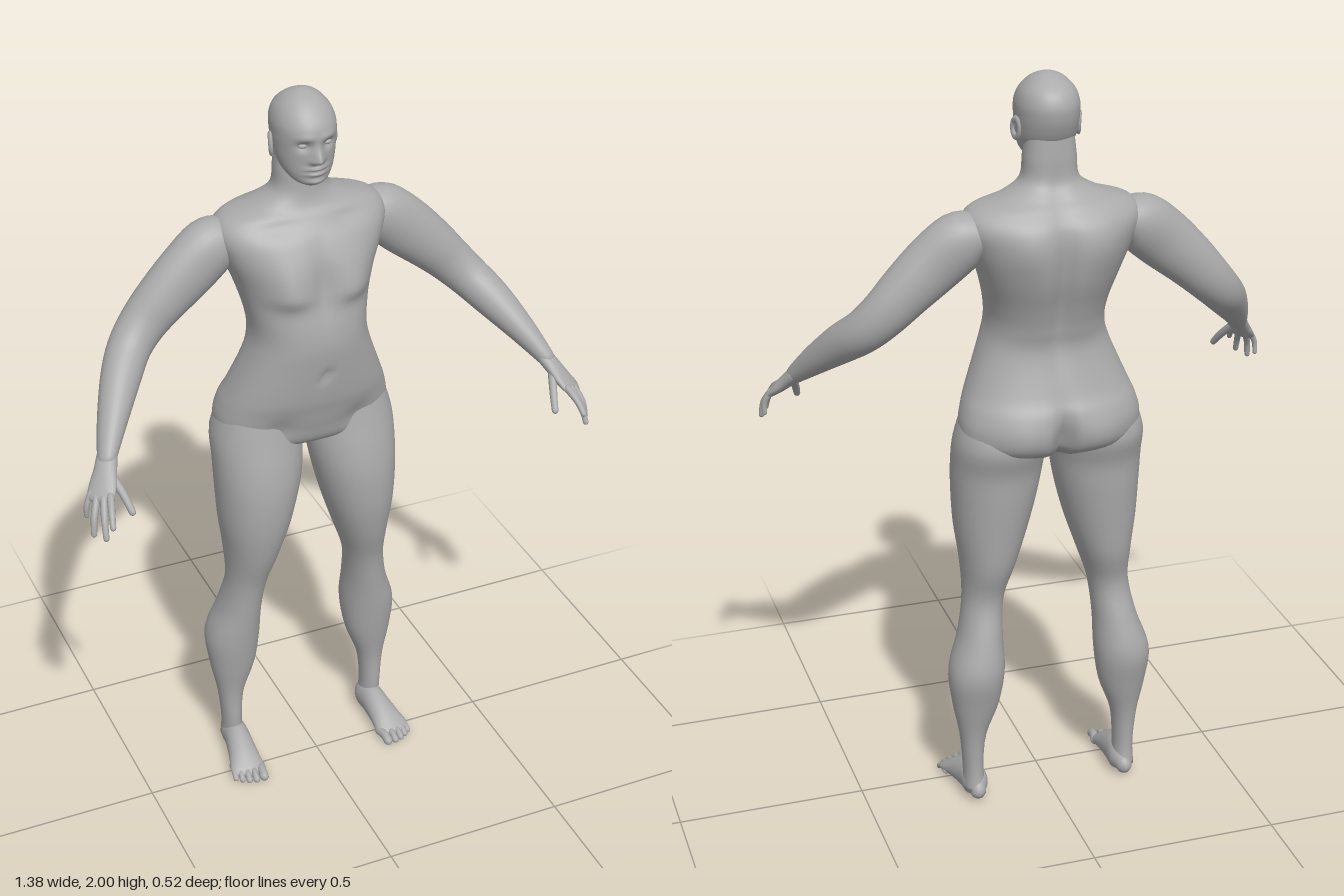
import * as THREE from 'three';

const V = (x, y, z) => new THREE.Vector3(x, y, z);
const bell = (d, s) => Math.exp(-(d * d) / (s * s));
const material = new THREE.MeshStandardMaterial({ color: 0xaaaaaa });
material.name = 'grey';

// Smooth interpolation of a short table of cross-sections
function refine(rows, steps) {
  const out = [], n = rows.length, row = i => rows[Math.min(n - 1, Math.max(0, i))];
  for (let k = 0; k <= (n - 1) * steps; k++) {
    const i = Math.min(n - 2, Math.floor(k / steps)), t = k / steps - i;
    out.push(rows[0].map((_, c) => {
      const [a, b, d, e] = [row(i - 1)[c], row(i)[c], row(i + 1)[c], row(i + 2)[c]];
      return b + 0.5 * t * (d - a + t * (2 * a - 5 * b + 4 * d - e + t * (3 * (b - d) + e - a)));
    }));
  }
  return out;
}

// Skin a stack of closed rings and cap both ends
function skin(rings) {
  const n = rings[0].length, m = rings.length, points = rings.flat(), index = [];
  const middle = ring => ring.reduce((s, p) => s.add(p), V(0, 0, 0)).divideScalar(n);
  points.push(middle(rings[0]), middle(rings[m - 1]));
  for (let j = 0; j < n; j++) {
    const k = (j + 1) % n;
    for (let i = 0; i < m - 1; i++) {
      const a = i * n + j, b = i * n + k;
      index.push(a, a + n, b, b, a + n, b + n);
    }
    index.push(m * n, j, k, m * n + 1, (m - 1) * n + k, (m - 1) * n + j);
  }
  const geometry = new THREE.BufferGeometry().setFromPoints(points);
  geometry.setIndex(index);
  geometry.computeVertexNormals();
  return geometry;
}

// Upright form, rows from the bottom up: [y, centre x, half width, front z, back z]
function upright(rows, { sides = 32, steps = 4, power = 1, shape } = {}) {
  const bend = v => Math.sign(v) * Math.abs(v) ** power;
  return skin(refine(rows, steps).map(([y, cx, hw, zf, zb]) =>
    Array.from({ length: sides }, (_, j) => {
      const a = j / sides * Math.PI * 2, s = Math.sin(a);
      const p = V(cx + hw * bend(Math.cos(a)), y, (zf + zb) / 2 + (zf - zb) / 2 * bend(s));
      if (shape) shape(p, s);
      return p;
    })));
}

// Limb along a path with rounded ends, rows: [x, y, z, thin radius, radius along the wide axis]
function limb(rows, wide, { sides = 20, steps = 4 } = {}) {
  const list = refine(rows, steps), last = list.length - 1, rings = [];
  const centre = i => V(...list[Math.min(last, Math.max(0, i))]);
  const ring = (i, scale, push) => {
    const d = centre(i + 1).sub(centre(i - 1)).normalize();
    const u = d.clone().cross(wide).normalize(), v = u.clone().cross(d);
    const [, , , ra, rb] = list[i], c = centre(i).addScaledVector(d, push * Math.min(ra, rb));
    rings.push(Array.from({ length: sides }, (_, j) => {
      const a = j / sides * Math.PI * 2;
      return c.clone().addScaledVector(u, ra * scale * Math.cos(a)).addScaledVector(v, rb * scale * Math.sin(a));
    }));
  };
  for (const a of [1.4, 1, 0.5]) ring(0, Math.cos(a), -Math.sin(a));
  for (let i = 0; i <= last; i++) ring(i, 1, 0);
  for (const a of [0.5, 1, 1.4]) ring(last, Math.cos(a), Math.sin(a));
  return skin(rings);
}

function mirror(geometry) {
  const g = geometry.clone().scale(-1, 1, 1), index = g.index.array;
  for (let i = 0; i < index.length; i += 3) [index[i], index[i + 1]] = [index[i + 1], index[i]];
  g.computeVertexNormals();
  return g;
}

// Chest, navel, spine and seat relief
function shapeTorso(p, s) {
  const x = Math.abs(p.x), y = p.y;
  if (s > 0) {
    p.z += s * 0.03 * bell(x - 0.095, 0.06) * bell(y - 1.5, y > 1.5 ? 0.075 : 0.03);
    p.z -= 0.008 * bell(x, 0.02) * bell(y - 1.53, 0.1);
    p.z -= 0.012 * bell(x, 0.014) * bell(y - 1.27, 0.014);
    p.z -= s * 0.012 * bell(x - 0.11, 0.04) * bell(y - 1.1, 0.04);
    p.z -= s * 0.01 * bell(x - 0.1, 0.07) * bell(y - 1.665, 0.02);
  } else {
    p.z += 0.022 * bell(x, 0.025) * bell(y - 1.48, 0.19);
    p.z += 0.045 * bell(x, 0.02) * bell(y - 1.07, 0.075);
    p.z += s * 0.012 * bell(x - 0.1, 0.06) * bell(y - 1.59, 0.07);
    p.z += s * 0.015 * bell(x - 0.11, 0.07) * bell(y - 1.08, 0.06);
  }
}

// Brow, eye sockets, nose, lips and chin
function shapeHead(p, s) {
  if (s <= 0) return;
  const x = Math.abs(p.x), y = p.y;
  p.z += 0.004 * bell(x - 0.028, 0.025) * bell(y - 1.908, 0.01);
  p.z -= 0.012 * bell(x - 0.032, 0.017) * bell(y - 1.887, 0.013);
  p.z += 0.026 * bell(x, 0.012) * bell(y - 1.85, y > 1.85 ? 0.028 : 0.009);
  p.z += 0.007 * bell(x - 0.013, 0.008) * bell(y - 1.847, 0.009);
  p.z += 0.009 * bell(x, 0.024) * (bell(y - 1.825, 0.006) + bell(y - 1.811, 0.006));
  p.z -= 0.004 * bell(x, 0.024) * bell(y - 1.818, 0.003);
  p.z += 0.008 * bell(x, 0.025) * bell(y - 1.788, 0.01);
}

export function createModel() {
  const model = new THREE.Group();
  model.name = 'figure';
  const add = (name, geometry) => {
    const mesh = new THREE.Mesh(geometry, material);
    mesh.name = name;
    model.add(mesh);
  };
  const pair = (name, geometry) => {
    add('left' + name, geometry);
    add('right' + name, mirror(geometry));
  };

  // Torso and neck
  add('torso', upright([
    [1.02, 0, 0.13, -0.03, -0.19], [1.05, 0, 0.225, 0.01, -0.235], [1.1, 0, 0.238, 0.028, -0.252],
    [1.15, 0, 0.228, 0.042, -0.248], [1.2, 0, 0.208, 0.055, -0.225], [1.3, 0, 0.168, 0.07, -0.195],
    [1.36, 0, 0.153, 0.075, -0.203], [1.42, 0, 0.158, 0.068, -0.22], [1.5, 0, 0.18, 0.048, -0.247],
    [1.58, 0, 0.212, 0.038, -0.256], [1.64, 0, 0.23, 0.012, -0.247], [1.68, 0, 0.205, -0.018, -0.218],
    [1.705, 0, 0.13, -0.038, -0.193], [1.74, 0, 0.076, -0.048, -0.17], [1.8, 0, 0.067, -0.052, -0.165],
    [1.86, 0, 0.06, -0.06, -0.16],
  ], { sides: 88, steps: 6, power: 0.88, shape: shapeTorso }));

  // Head with eyes and ears
  add('head', upright([
    [1.775, 0, 0.022, -0.012, -0.05], [1.787, 0, 0.045, -0.002, -0.085], [1.81, 0, 0.063, 0.003, -0.13],
    [1.84, 0, 0.073, 0.005, -0.158], [1.87, 0, 0.077, 0.008, -0.174], [1.9, 0, 0.079, 0.012, -0.183],
    [1.93, 0, 0.078, 0.008, -0.184], [1.96, 0, 0.067, -0.012, -0.17], [1.985, 0, 0.044, -0.042, -0.138],
    [1.997, 0, 0.02, -0.07, -0.11], [2, 0, 0.004, -0.086, -0.094],
  ], { sides: 80, steps: 7, power: 0.93, shape: shapeHead }));
  pair('Eye', new THREE.SphereGeometry(0.011, 16, 10).scale(1.15, 0.6, 0.8).translate(0.032, 1.887, -0.009));
  const ear = new THREE.TorusGeometry(0.018, 0.007, 8, 20).scale(0.8, 1.3, 0.8);
  pair('Ear', ear.rotateY(Math.PI / 2 + 0.35).rotateX(-0.15).translate(0.081, 1.866, -0.095));

  // Legs
  pair('Leg', upright([
    [0.035, 0.213, 0.03, -0.08, -0.157], [0.1, 0.215, 0.027, -0.073, -0.15], [0.2, 0.215, 0.036, -0.072, -0.157],
    [0.3, 0.207, 0.063, -0.055, -0.18], [0.4, 0.204, 0.074, -0.04, -0.2], [0.5, 0.188, 0.058, -0.028, -0.178],
    [0.6, 0.174, 0.054, -0.012, -0.152], [0.7, 0.16, 0.072, 0.02, -0.178], [0.8, 0.15, 0.095, 0.04, -0.19],
    [0.9, 0.14, 0.111, 0.045, -0.2], [0.98, 0.134, 0.119, 0.036, -0.207], [1.06, 0.13, 0.12, 0.018, -0.228],
    [1.14, 0.125, 0.1, 0, -0.2],
  ], { sides: 36, power: 0.95 }));

  // Feet and toes
  const xAxis = V(1, 0, 0);
  pair('Foot', limb([
    [0.21, 0.032, -0.143, 0.026, 0.022], [0.21, 0.042, -0.12, 0.042, 0.034], [0.212, 0.046, -0.08, 0.046, 0.035],
    [0.218, 0.034, -0.02, 0.034, 0.041], [0.224, 0.02, 0.025, 0.02, 0.048], [0.227, 0.014, 0.042, 0.013, 0.045],
  ], xAxis, { sides: 28 }));
  [[0.19, 0.073, 0.013], [0.213, 0.074, 0.0095], [0.232, 0.068, 0.009], [0.249, 0.058, 0.0085], [0.264, 0.046, 0.008]]
    .forEach(([x, z, r], i) => pair('Toe' + (i + 1), limb([
      [x - 0.004, 0.017, z - 0.045, r, r], [x, 0.019, z - 0.02, r, r * 0.9], [x + 0.002, r, z, r, r],
    ], xAxis, { sides: 12 })));

  // Arms
  pair('Arm', limb([
    [0.19, 1.62, -0.13, 0.055, 0.06], [0.235, 1.603, -0.126, 0.076, 0.066], [0.3, 1.55, -0.12, 0.078, 0.062],
    [0.37, 1.487, -0.117, 0.07, 0.06], [0.425, 1.432, -0.112, 0.062, 0.057], [0.473, 1.382, -0.088, 0.056, 0.055],
    [0.518, 1.333, -0.032, 0.051, 0.05], [0.57, 1.266, 0.045, 0.037, 0.04], [0.61, 1.207, 0.11, 0.023, 0.027],
  ], V(0, 0, 1), { sides: 28 }));

  // Hands: palm, four fingers and thumb
  const spread = V(0.59, 0, -0.81);
  pair('Palm', limb([
    [0.606, 1.212, 0.102, 0.02, 0.027], [0.622, 1.187, 0.13, 0.019, 0.031], [0.638, 1.162, 0.155, 0.016, 0.038],
    [0.652, 1.142, 0.176, 0.012, 0.038],
  ], spread));
  const digits = {
    Index: [[0.632, 1.152, 0.193], [0.643, 1.13, 0.23], [0.65, 1.103, 0.256]],
    Middle: [[0.647, 1.145, 0.186], [0.66, 1.108, 0.223], [0.665, 1.068, 0.244]],
    Ring: [[0.66, 1.143, 0.17], [0.678, 1.104, 0.197], [0.684, 1.063, 0.207]],
    Little: [[0.668, 1.147, 0.152], [0.683, 1.118, 0.158], [0.685, 1.088, 0.157]],
    Thumb: [[0.612, 1.18, 0.145], [0.596, 1.143, 0.185], [0.586, 1.108, 0.217]],
  };
  for (const [name, path] of Object.entries(digits)) {
    const r = name === 'Thumb' ? 0.012 : name === 'Little' ? 0.0085 : 0.01;
    pair(name + 'Finger', limb(path.map((p, i) => [...p, r * (1 - i * 0.13), r * (1 - i * 0.13)]), spread, { sides: 12 }));
  }
  return model;
}
